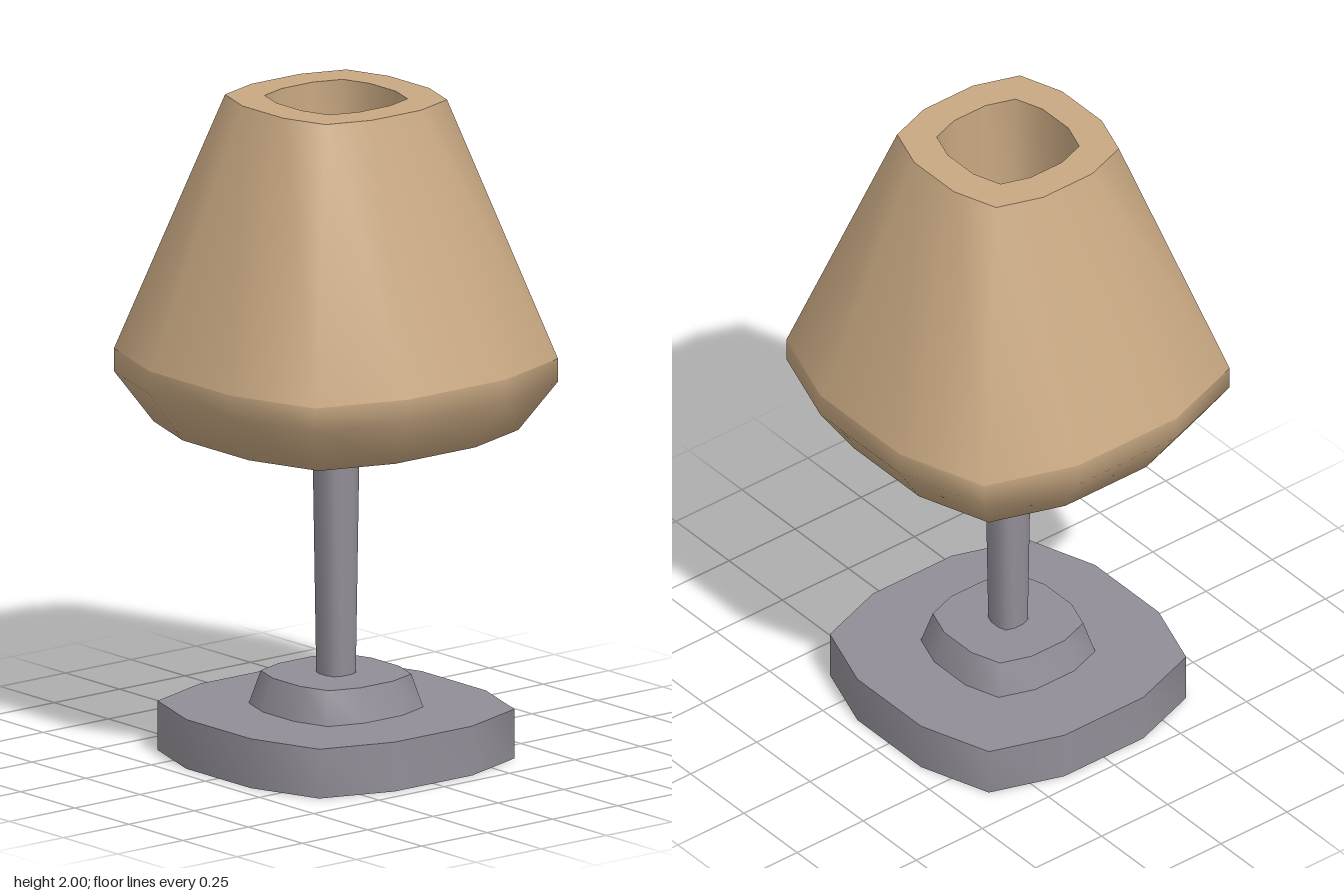
import * as THREE from 'three';

// Twelve-sided bulging square, as one quarter for half-width 1
const QUARTER = [[1, -0.332], [1, 0.332], [0.83, 0.83]];
const SECTION = [];
for (let q = 0; q < 4; q++) {
  for (const [x, z] of QUARTER) {
    const c = [1, 0, -1, 0][q], s = [0, 1, 0, -1][q];
    SECTION.push([x * c - z * s, x * s + z * c]);
  }
}

// Smooth surface through scaled sections; profile is a list of [half-width, y]
function loft(profile) {
  const n = SECTION.length, pos = [], idx = [];
  for (const [r, y] of profile) for (const [x, z] of SECTION) pos.push(x * r, y, z * r);
  for (let j = 0; j < profile.length - 1; j++) {
    for (let i = 0; i < n; i++) {
      const k = (i + 1) % n;
      const a = j * n + i, b = j * n + k, c = b + n, d = a + n;
      if (profile[j + 1][0] > 0) idx.push(a, d, c);
      else idx.push(a, c, b);
      if (profile[j][0] > 0 && profile[j + 1][0] > 0) idx.push(a, c, b);
    }
  }
  const g = new THREE.BufferGeometry();
  g.setAttribute('position', new THREE.Float32BufferAttribute(pos, 3));
  g.setIndex(idx);
  g.computeVertexNormals();
  return g;
}

export function createModel() {
  const tan = new THREE.MeshStandardMaterial({ color: 0xc8a882, side: THREE.DoubleSide });
  tan.name = 'tanShade';
  const grey = new THREE.MeshStandardMaterial({ color: 0x928d97, side: THREE.DoubleSide });
  grey.name = 'greyMetal';

  const model = new THREE.Group();
  model.name = 'tableLamp';
  const add = (name, material, profile) => {
    const mesh = new THREE.Mesh(loft(profile), material);
    mesh.name = name;
    model.add(mesh);
  };

  // Base: hollow plate, open underneath, with a raised step
  add('baseWall', grey, [[0.45, 0], [0.45, 0.15]]);
  add('baseTop', grey, [[0.45, 0.15], [0, 0.15]]);
  add('stepWall', grey, [[0.22, 0.15], [0.19, 0.25]]);
  add('stepTop', grey, [[0.19, 0.25], [0, 0.25]]);

  // Stem, widening slightly upwards
  add('stem', grey, [[0.05, 0.25], [0.06, 1]]);

  // Shade: rounded closed underside, tapering wall, rim and recess
  add('shadeUnderside', tan, [[0, 1], [0.46, 1], [0.56, 1.15], [0.56, 1.22]]);
  add('shadeWall', tan, [[0.56, 1.22], [0.28, 2]]);
  add('shadeRim', tan, [[0.28, 2], [0.18, 2]]);
  add('shadeRecess', tan, [[0.18, 2], [0.18, 1.4]]);
  add('shadeRecessFloor', tan, [[0.18, 1.4], [0, 1.4]]);
  return model;
}
